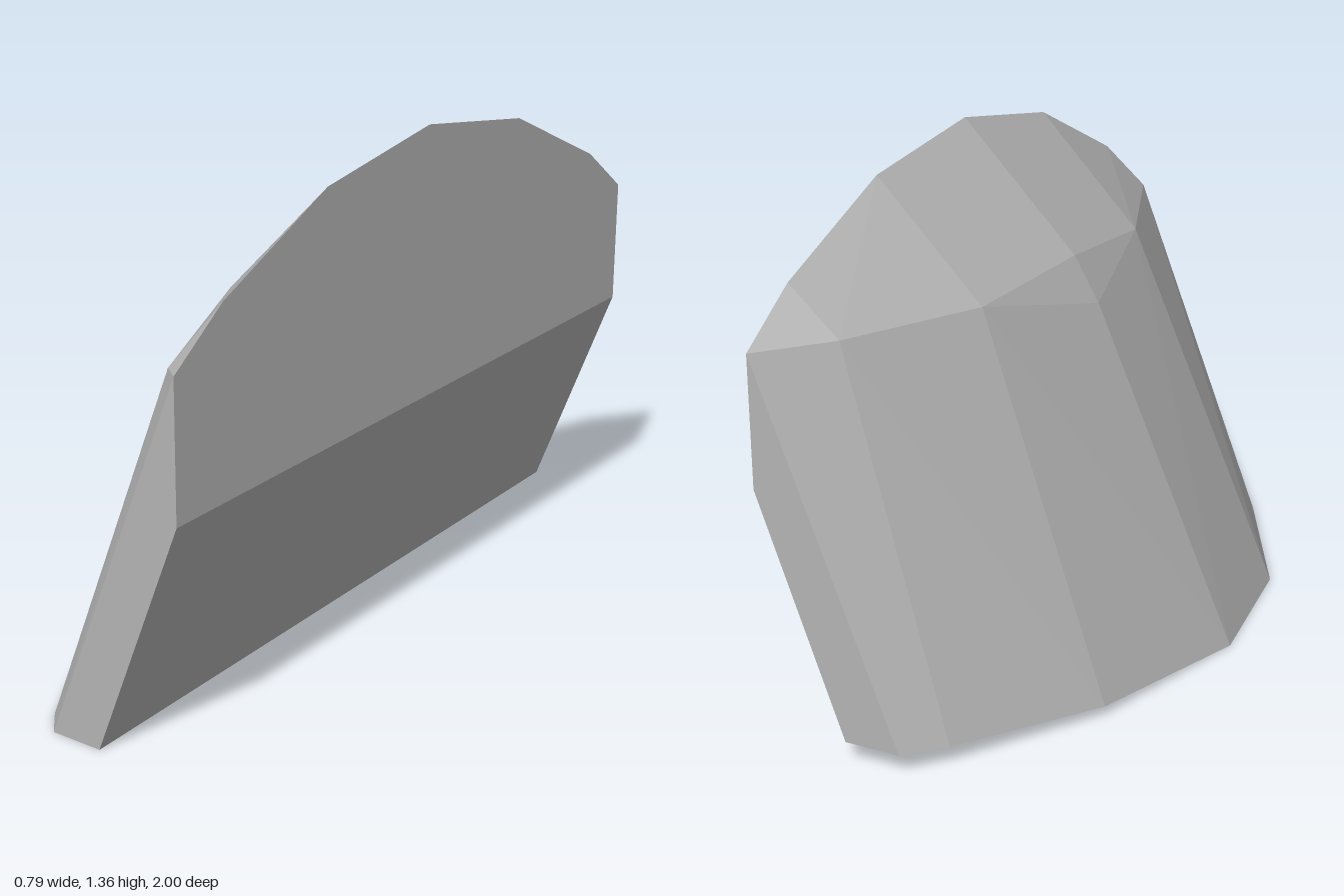
import * as THREE from 'three';
import { ConvexGeometry } from 'three/addons/geometries/ConvexGeometry.js';

export function createModel() {
  const stone = new THREE.MeshStandardMaterial({ color: 0xb4b4b4 });

  // underside outline: flat at the front, rising slightly to the back
  const base = [
    [0.145, 0, 1], [0, 0, 1], [-0.06, 0, 0.93], [-0.32, 0, 0.45], [-0.395, 0, 0],
    [-0.28, 0.025, -0.51], [-0.065, 0.045, -0.9], [0.015, 0.05, -1], [0.165, 0.05, -1],
  ];

  // shoulder where the leaning side meets the sloping top
  const shoulder = [
    [0.33, 0.98, 0.94], [0.1, 0.99, 0.42], [0, 0.9, 0],
    [0.07, 1.02, 0], [0.1, 0.99, -0.43], [0.26, 0.99, -0.82],
  ];

  // flat upright wall on the left: lower corners and arched top edge
  const wall = [[0.635, 1], [0.655, -1]];
  for (const s of [1, -1]) wall.push([0.99, s], [1.115, 0.825 * s], [1.29, 0.43 * s]);
  wall.push([1.355, 0]);

  const points = [...base, ...shoulder, ...wall.map(([y, z]) => [0.395, y, z])]
    .map((p) => new THREE.Vector3(...p));

  const block = new THREE.Mesh(new ConvexGeometry(points), stone);
  block.name = 'leaningBlock';

  const model = new THREE.Group();
  model.name = 'facetedBlock';
  model.add(block);
  return model;
}
